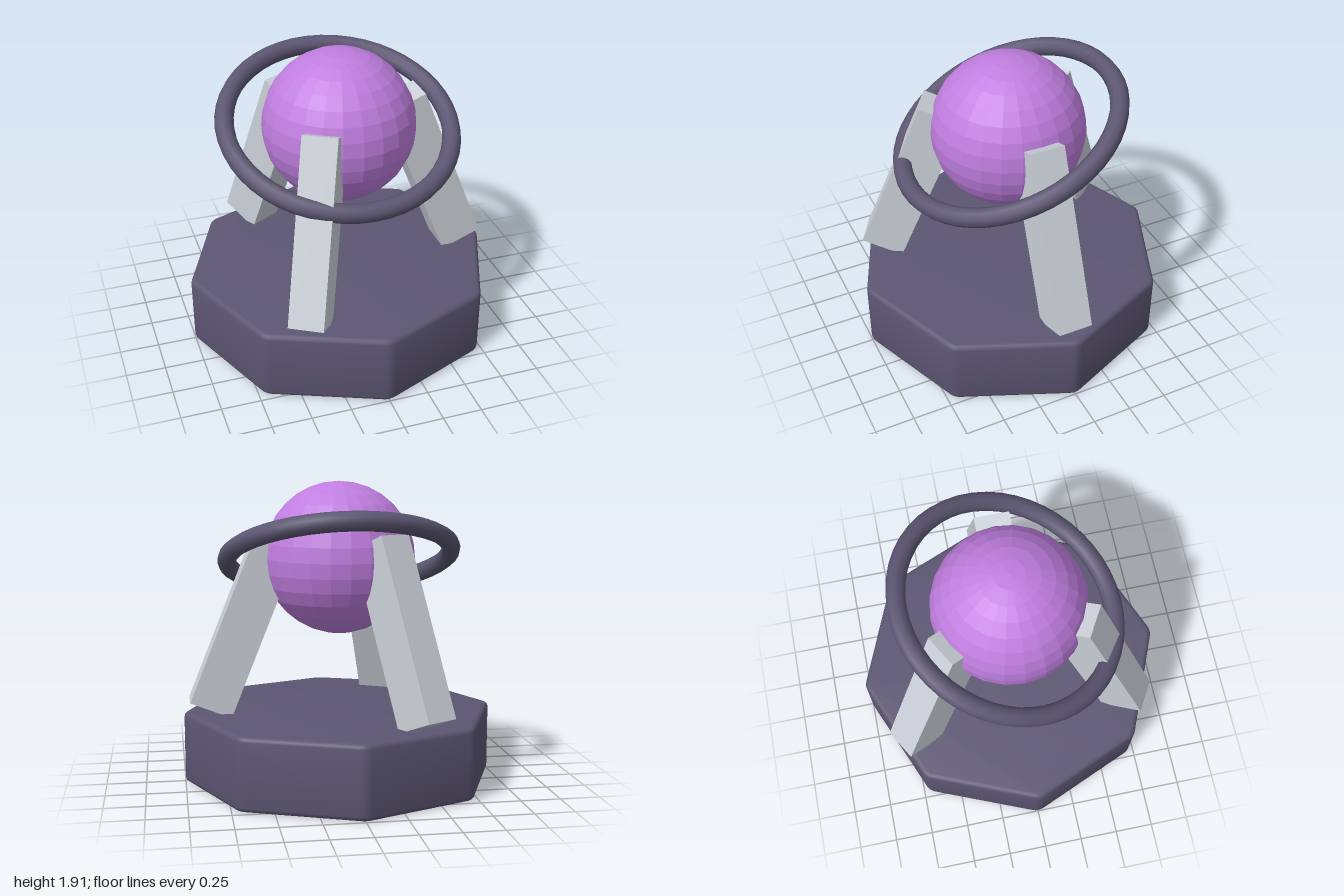
import * as THREE from 'three';
import { toCreasedNormals } from 'three/addons/utils/BufferGeometryUtils.js';

const material = (name, color) => {
  const m = new THREE.MeshStandardMaterial({ color });
  m.name = name;
  return m;
};

// Octagon with softly rounded corners, points on the axes
function octagonShape(radius, cut) {
  const shape = new THREE.Shape();
  const corner = (i) => new THREE.Vector2(Math.cos(i * Math.PI / 4), Math.sin(i * Math.PI / 4)).multiplyScalar(radius);
  const side = corner(0).distanceTo(corner(1));
  for (let i = 0; i < 8; i++) {
    const c = corner(i);
    const a = c.clone().lerp(corner(i - 1), cut / side);
    const b = c.clone().lerp(corner(i + 1), cut / side);
    if (i === 0) shape.moveTo(a.x, a.y);
    else shape.lineTo(a.x, a.y);
    shape.quadraticCurveTo(c.x, c.y, b.x, b.y);
  }
  shape.closePath();
  return shape;
}

export function createModel() {
  const model = new THREE.Group();
  model.name = 'orbPedestal';
  const slate = material('dark slate', 0x5c5672);
  const stone = material('pale grey', 0xcbd0d8);
  const violet = material('violet', 0xc07ee0);

  const add = (name, geometry, mat, parent = model) => {
    const mesh = new THREE.Mesh(geometry, mat);
    mesh.name = name;
    parent.add(mesh);
    return mesh;
  };

  // Bevelled octagonal base
  const bevel = 0.03, height = 0.455;
  const slab = new THREE.ExtrudeGeometry(octagonShape(1.008, 0.04), {
    depth: height - 2 * bevel, curveSegments: 4,
    bevelSize: bevel, bevelThickness: bevel, bevelOffset: -bevel, bevelSegments: 3,
  });
  slab.rotateX(-Math.PI / 2).translate(0, bevel, 0);
  add('base', toCreasedNormals(slab, 0.6), slate);

  // Three legs leaning in to hold the orb
  for (let i = 0; i < 3; i++) {
    const pivot = new THREE.Group();
    pivot.name = 'legPivot' + (i + 1);
    pivot.rotation.y = i * Math.PI * 2 / 3;
    model.add(pivot);
    const leg = add('leg' + (i + 1), new THREE.BoxGeometry(0.28, 1.153, 0.22), stone, pivot);
    leg.position.set(0.62, 1.015, 0);
    leg.rotation.z = 0.382;
  }

  // Faceted orb
  const ball = new THREE.SphereGeometry(0.485, 24, 16).toNonIndexed();
  ball.computeVertexNormals();
  add('orb', ball, violet).position.y = 1.43;

  // Tilted ring, raised at the back
  const ring = add('ring', new THREE.TorusGeometry(0.715, 0.06, 10, 48), slate);
  ring.position.y = 1.43;
  ring.rotation.x = Math.PI / 2 + 0.384;

  return model;
}
